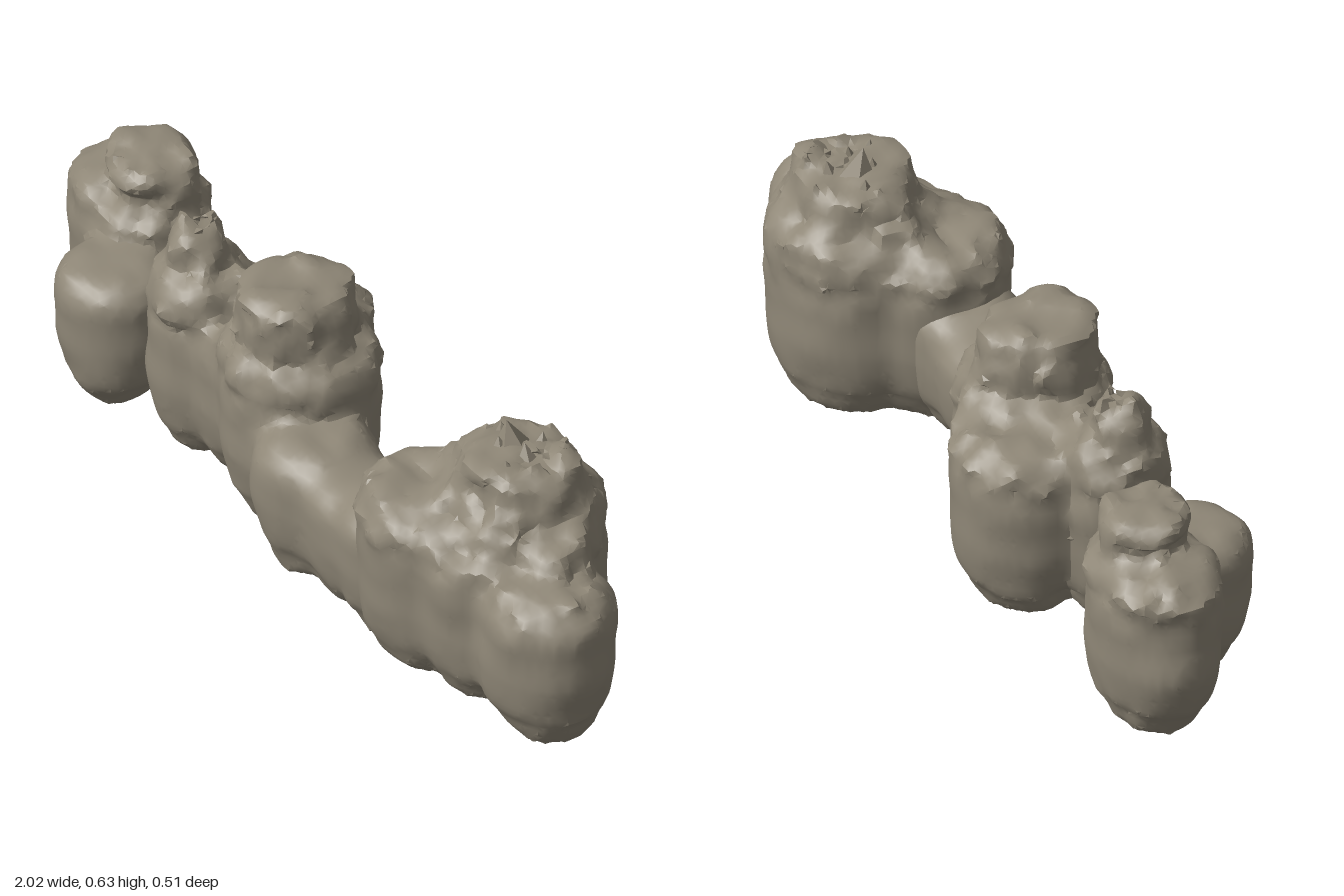
import * as THREE from 'three';
import { toCreasedNormals } from 'three/addons/utils/BufferGeometryUtils.js';

const stone = new THREE.MeshStandardMaterial({ color: 0x8f8777 });
stone.name = 'weathered stone';

// repeatable value from -1 to 1
function hash(a, b, c) {
  const s = Math.sin(a * 127.1 + b * 311.7 + c * 74.7) * 43758.5453;
  return 2 * (s - Math.floor(s)) - 1;
}

// smooth lattice noise from -1 to 1
function noise(x, y, z) {
  const c = [x, y, z].map(Math.floor);
  const f = [x - c[0], y - c[1], z - c[2]].map(t => t * t * (3 - 2 * t));
  let sum = 0;
  for (let k = 0; k < 8; k++) {
    const o = [k & 1, (k >> 1) & 1, k >> 2];
    const w = o.reduce((p, bit, i) => p * (bit ? f[i] : 1 - f[i]), 1);
    sum += w * hash(c[0] + o[0], c[1] + o[1], c[2] + o[2]);
  }
  return sum;
}

// distance to an upright round-edged pillar: [x, z, radiusX, radiusZ, top, edge, bottom]
function pillar([px, pz, rx, rz, top, edge, bottom = -0.1], x, y, z) {
  const side = (Math.hypot((x - px) / rx, (z - pz) / rz) - 1) * Math.min(rx, rz) + edge;
  const half = (top - bottom) / 2;
  const up = Math.abs(y - bottom - half) - half + edge;
  return Math.min(Math.max(side, up), 0) + Math.hypot(Math.max(side, 0), Math.max(up, 0)) - edge;
}

// pillars melted together, narrowed at the foot, weathered into lumps and ragged tops, cut flat at the ground
function rockField(pillars, x, y, z) {
  const blend = 0.025;
  let d = 1;
  for (const p of pillars) {
    const e = pillar(p, x, y, z);
    const h = Math.max(blend - Math.abs(d - e), 0) / blend;
    d = Math.min(d, e) - h * h * blend / 4;
  }
  const foot = Math.max(0.19 - y, 0) / 0.19;
  d += 0.06 * foot * foot;
  const high = THREE.MathUtils.smoothstep(y, 0.28, 0.4);
  const low = 1 - THREE.MathUtils.smoothstep(y, 0.06, 0.13);
  const band = (y + 0.015 * noise(x * 14, 3, z * 14)) / 0.1 + 0.3;
  d += (0.002 + 0.01 * high + 0.006 * low) * (band - Math.floor(band) - 0.5);
  d += 0.007 * noise(x * 10, y * 10, z * 10);
  d += (0.016 * high + 0.008 * low) * noise(x * 27, y * 27, z * 27);
  return Math.max(d, 0.004 - y);
}

// skin the rock field on a regular grid: one vertex per crossed cell, one quad per crossed edge
function rock(name, pillars) {
  const step = 0.02;
  const low = [Math.min(...pillars.map(p => p[0] - p[2])) - 0.06, -0.035, -0.31];
  const high = [Math.max(...pillars.map(p => p[0] + p[2])) + 0.06, 0.68, 0.31];
  const n = low.map((v, i) => Math.ceil((high[i] - v) / step));
  const stride = [1, n[0], n[0] * n[1]];
  const value = new Float32Array(n[0] * n[1] * n[2]);
  const each = (start, end, fn) => {
    for (let k = start; k < n[2] - end; k++)
      for (let j = start; j < n[1] - end; j++)
        for (let i = start; i < n[0] - end; i++) fn([i, j, k], i + j * stride[1] + k * stride[2]);
  };
  each(0, 0, (p, id) => {
    value[id] = rockField(pillars, ...p.map((v, a) => low[a] + v * step));
  });

  const points = [], cellVertex = new Map(), index = [];
  each(0, 1, (p, id) => {
    const sum = [0, 0, 0];
    let count = 0;
    for (let a = 0; a < 3; a++) {
      const b = (a + 1) % 3, c = (a + 2) % 3;
      for (let corner = 0; corner < 4; corner++) {
        const ob = corner & 1, oc = corner >> 1;
        const from = id + ob * stride[b] + oc * stride[c];
        const v0 = value[from], v1 = value[from + stride[a]];
        if ((v0 < 0) === (v1 < 0)) continue;
        sum[a] += v0 / (v0 - v1);
        sum[b] += ob;
        sum[c] += oc;
        count++;
      }
    }
    if (!count) return;
    cellVertex.set(id, points.length / 3);
    points.push(...p.map((v, a) => low[a] + (v + sum[a] / count) * step));
  });
  each(1, 1, (p, id) => {
    for (let a = 0; a < 3; a++) {
      const inside = value[id] < 0;
      if (inside === (value[id + stride[a]] < 0)) continue;
      const sb = stride[(a + 1) % 3], sc = stride[(a + 2) % 3];
      const q = [id, id - sb, id - sb - sc, id - sc].map(c => cellVertex.get(c));
      if (!inside) q.reverse();
      index.push(q[0], q[1], q[2], q[0], q[2], q[3]);
    }
  });

  const geo = new THREE.BufferGeometry();
  geo.setAttribute('position', new THREE.Float32BufferAttribute(points, 3));
  geo.setIndex(index);
  const mesh = new THREE.Mesh(toCreasedNormals(geo, 0.5), stone);
  mesh.name = name;
  return mesh;
}

// pointed stone shard
function shard(name, x, y, z, r, h, turn) {
  const mesh = new THREE.Mesh(toCreasedNormals(new THREE.ConeGeometry(r, h, 5), 0.3), stone);
  mesh.name = name;
  mesh.position.set(x, y + h / 2, z);
  mesh.rotation.set(0.12 * Math.sin(turn), turn, 0.15 * Math.cos(turn));
  return mesh;
}

export function createModel() {
  const group = new THREE.Group();
  group.name = 'rock formation';

  group.add(
    // wide column with a cap and an overhanging slab, and a boulder in front
    rock('leftOutcrop', [
      [-0.818, -0.055, 0.185, 0.14, 0.435, 0.07],
      [-0.765, -0.055, 0.105, 0.1, 0.52, 0.03],
      [-0.785, -0.06, 0.105, 0.08, 0.525, 0.018, 0.475],
      [-0.67, 0.12, 0.132, 0.127, 0.36, 0.07],
    ]),
    // narrow, back and tall columns running into the low ridge
    rock('centralOutcrop', [
      [-0.425, 0.055, 0.125, 0.122, 0.48, 0.05],
      [-0.445, 0.055, 0.066, 0.068, 0.58, 0.04],
      [-0.27, -0.095, 0.175, 0.158, 0.43, 0.07],
      [-0.29, 0.05, 0.13, 0.1, 0.4, 0.05],
      [-0.115, 0.01, 0.18, 0.175, 0.47, 0.06],
      [-0.12, 0.02, 0.137, 0.14, 0.6, 0.06],
      [0.07, 0.1, 0.14, 0.142, 0.34, 0.09],
      [0.22, 0.09, 0.16, 0.13, 0.31, 0.08],
      [0.36, 0.09, 0.13, 0.13, 0.33, 0.08],
    ]),
    // crowned main column, front column and low end column
    rock('rightOutcrop', [
      [0.48, 0.075, 0.175, 0.168, 0.45, 0.075],
      [0.61, -0.055, 0.21, 0.195, 0.475, 0.06],
      [0.62, -0.06, 0.15, 0.135, 0.572, 0.045],
      [0.65, 0.065, 0.14, 0.135, 0.41, 0.06],
      [0.845, 0.03, 0.162, 0.148, 0.39, 0.085],
      [0.81, -0.02, 0.055, 0.07, 0.45, 0.02],
    ]),
  );

  // jagged peaks on the crown
  for (let i = 0; i < 6; i++) {
    const a = i * 2.4, r = 0.03 + 0.013 * i;
    group.add(shard('crownShard', 0.62 + r * Math.cos(a), 0.5 - 0.004 * i, -0.055 + r * Math.sin(a),
      0.06, 0.1, a));
  }
  group.add(shard('crownPeak', 0.59, 0.51, -0.055, 0.07, 0.12, 0.5));
  return group;
}
